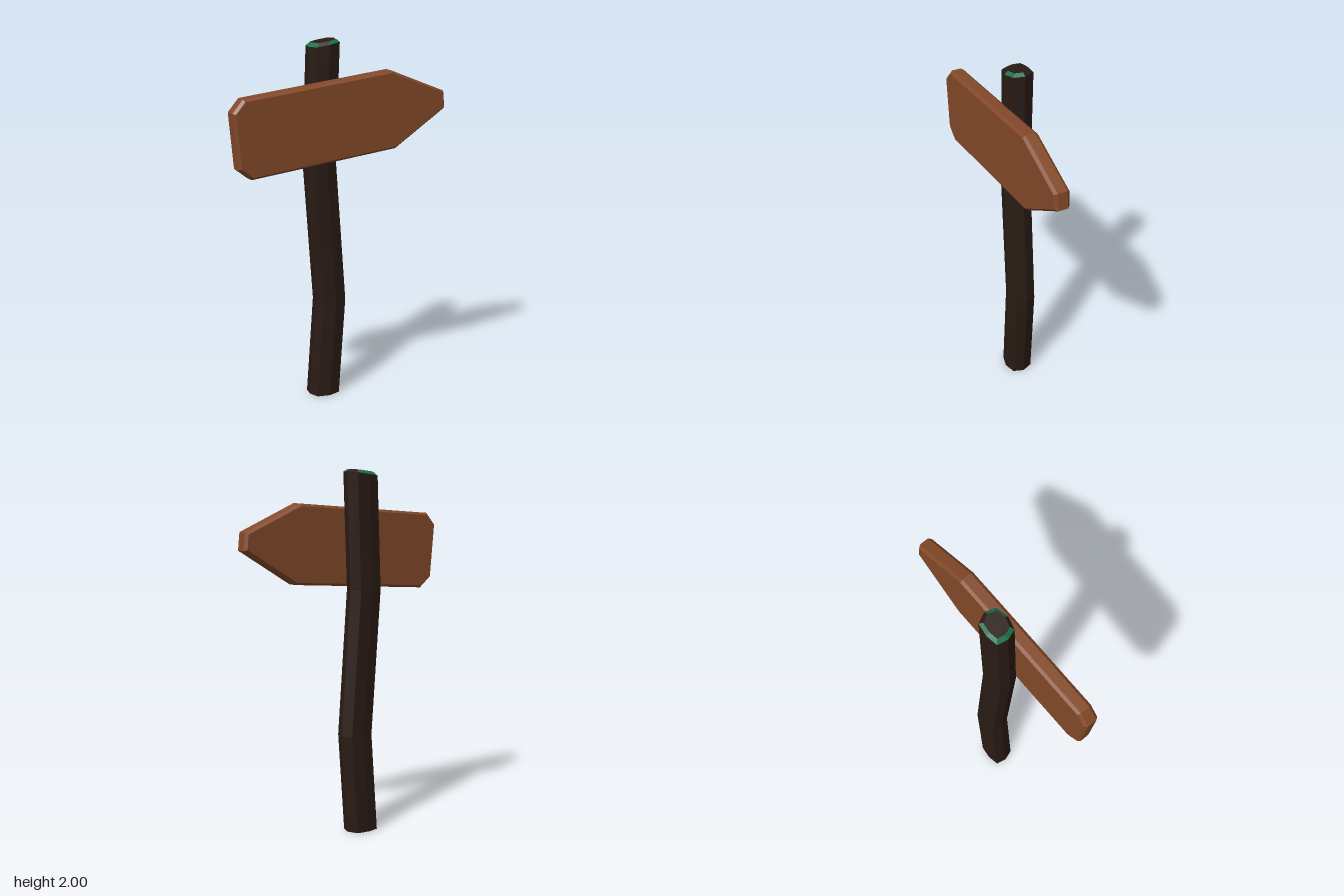
import * as THREE from 'three';

const mat = (color) => new THREE.MeshStandardMaterial({ color, flatShading: true });

// Post cross-section [x, z], left -> back -> right -> front
const section = [
  [-0.087, -0.04], [-0.075, -0.098], [-0.01, -0.109], [0.06, -0.099],
  [0.087, -0.04], [0.068, 0.017], [0, 0.035], [-0.068, 0.017],
];
const N = section.length;
const midZ = -0.037;

// One ring of the post: centre x, height, tilt across x, scale of the section
const ring = (cx, y, tilt = 0, s = 1) =>
  section.map(([x, z]) => [cx + x * s, y + tilt * x, midZ + (z - midZ) * s]);

// Outward-facing quad between side i of a lower and an upper ring
function side(lower, upper, i) {
  const j = (i + 1) % N;
  return [lower[j], lower[i], upper[i], lower[j], upper[i], upper[j]];
}

function facets(points) {
  const g = new THREE.BufferGeometry();
  g.setAttribute('position', new THREE.Float32BufferAttribute(points.flat(), 3));
  g.computeVertexNormals();
  return g;
}

function mesh(name, geometry, material) {
  const m = new THREE.Mesh(geometry, material);
  m.name = name;
  return m;
}

export function createModel() {
  const model = new THREE.Group();
  model.name = 'signpost';

  // Crooked post with a slanted, bevelled top
  const rings = [
    ring(-0.055, 0), ring(-0.014, 0.55), ring(-0.075, 1.35),
    ring(-0.051, 1.975, 0.15), ring(-0.051, 1.992, 0.1, 0.74),
  ];
  const wood = [];
  const moss = [];
  const mossySides = [0, 1, 2, 4, 5];
  for (let r = 0; r < rings.length - 1; r++) {
    for (let i = 0; i < N; i++) {
      const onRim = r === rings.length - 2;
      const target = onRim && (mossySides.includes(i) || i === 7) ? moss : wood;
      target.push(...side(rings[r], rings[r + 1], i));
    }
  }
  // End caps
  const bottom = rings[0];
  const top = rings[rings.length - 1];
  for (let i = 1; i < N - 1; i++) {
    wood.push(bottom[0], bottom[i], bottom[i + 1]);
    wood.push(top[0], top[i + 1], top[i]);
  }
  model.add(mesh('post', facets(wood), mat(0x2a1b15)));
  model.add(mesh('mossRim', facets(moss), mat(0x1b7048)));

  // Arrow-shaped board with chamfered edges
  const outline = [
    [-0.65, 1.675], [-0.622, 1.378], [-0.548, 1.32], [0.325, 1.394],
    [0.645, 1.59], [0.635, 1.685], [0.293, 1.823], [-0.59, 1.743],
  ];
  const shape = new THREE.Shape(outline.map(([x, y]) => new THREE.Vector2(x, y)));
  const bevel = 0.016;
  const boardGeo = new THREE.ExtrudeGeometry(shape, {
    depth: 0.085 - 2 * bevel, bevelEnabled: true, bevelSegments: 1,
    bevelThickness: bevel, bevelSize: 0.013, bevelOffset: -0.013,
  });
  boardGeo.translate(0, 0, 0.02 + bevel);
  model.add(mesh('arrowBoard', boardGeo, mat(0x834929)));

  return model;
}
